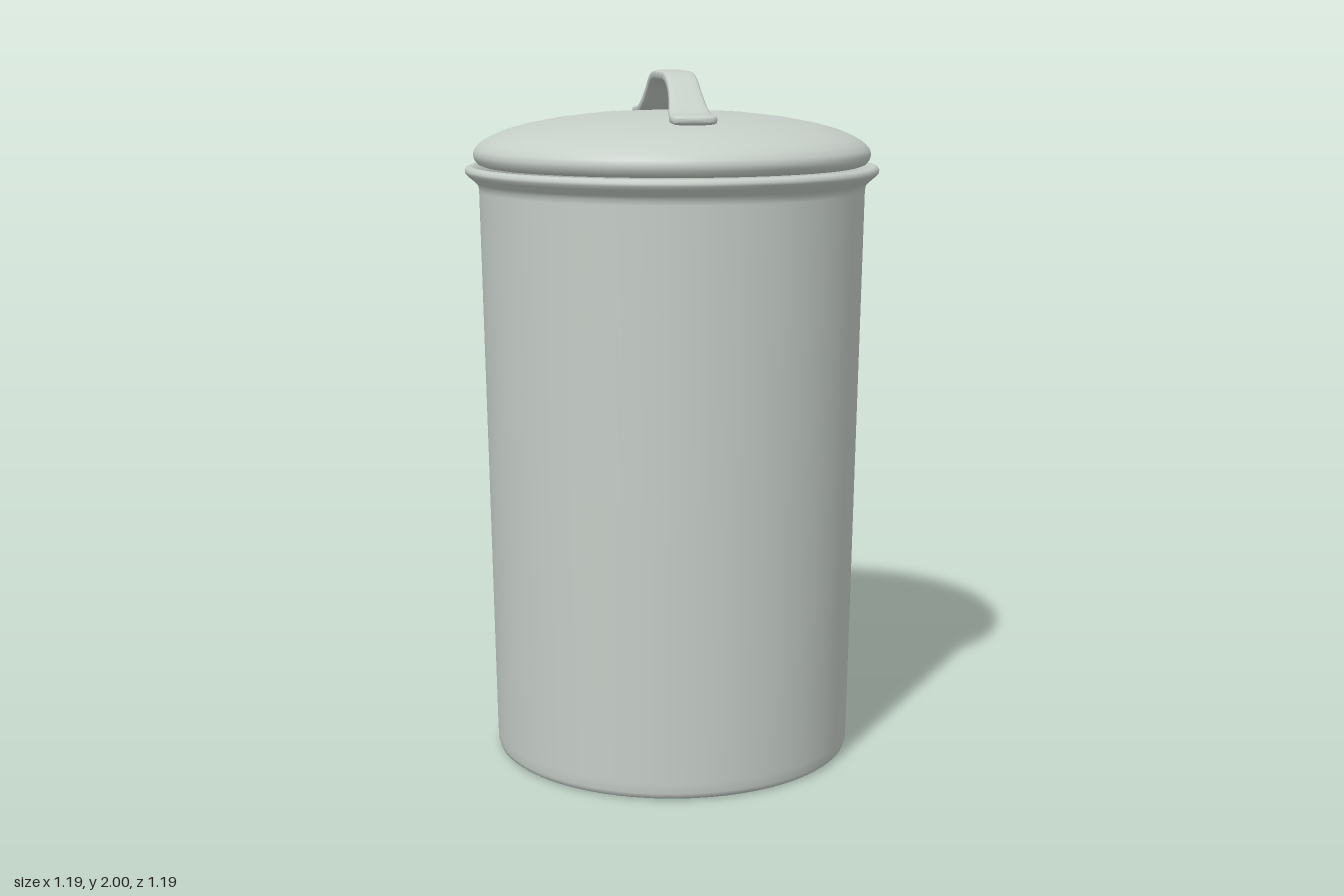
import * as THREE from 'three';

const enamel = new THREE.MeshStandardMaterial({ color: 0xc6cec8 });
enamel.name = 'pale grey enamel';

const lathe = (name, pts) => {
  const geo = new THREE.LatheGeometry(pts.map(([r, y]) => new THREE.Vector2(r, y)), 96);
  const mesh = new THREE.Mesh(geo, enamel);
  mesh.name = name;
  return mesh;
};

// Sweep a soft rectangular section through stations of [z, y, half width, half thickness]
function strapGeometry(stations, sides = 24) {
  const pos = [], index = [];
  const soft = (v) => Math.sign(v) * Math.pow(Math.abs(v), 0.5);
  stations.forEach(([z, y, w, h], i) => {
    const a = stations[Math.max(i - 1, 0)], b = stations[Math.min(i + 1, stations.length - 1)];
    const len = Math.hypot(b[0] - a[0], b[1] - a[1]);
    const tz = (b[0] - a[0]) / len, ty = (b[1] - a[1]) / len;
    for (let j = 0; j < sides; j++) {
      const t = (j / sides) * Math.PI * 2;
      const u = soft(Math.cos(t)) * w, v = soft(Math.sin(t)) * h;
      pos.push(u, y + v * tz, z - v * ty);
    }
  });
  for (let i = 0; i < stations.length - 1; i++) {
    for (let j = 0; j < sides; j++) {
      const k = (j + 1) % sides;
      const p = i * sides + j, q = i * sides + k;
      index.push(p, q, p + sides, q, q + sides, p + sides);
    }
  }
  const geo = new THREE.BufferGeometry();
  geo.setAttribute('position', new THREE.Float32BufferAttribute(pos, 3));
  geo.setIndex(index);
  geo.computeVertexNormals();
  return geo;
}

export function createModel() {
  const model = new THREE.Group();
  model.name = 'liddedBin';

  // Tapered body with a flared rim, inner wall and floor
  model.add(lathe('body', [
    [0, 0], [0.5, 0], [0.512, 0.002], [0.52, 0.008], [0.524, 0.02], [0.526, 0.05],
    [0.54, 0.85], [0.555, 1.66], [0.557, 1.675], [0.565, 1.685], [0.585, 1.702],
    [0.594, 1.712], [0.595, 1.72], [0.59, 1.728], [0.58, 1.732], [0.568, 1.728],
    [0.55, 1.712], [0.54, 1.69], [0.536, 1.65], [0.508, 0.05], [0.495, 0.022], [0, 0.02],
  ]));

  // Shallow domed lid with a rolled edge
  model.add(lathe('lid', [
    [0, 1.865], [0.2, 1.858], [0.38, 1.838], [0.48, 1.81], [0.53, 1.775], [0.535, 1.735],
    [0.545, 1.732], [0.558, 1.737], [0.568, 1.75], [0.571, 1.764], [0.567, 1.778],
    [0.552, 1.795], [0.525, 1.812], [0.48, 1.831], [0.42, 1.848], [0.33, 1.865],
    [0.22, 1.878], [0.1, 1.884], [0, 1.885],
  ]));

  // Arched strap handle: smooth half path, mirrored, with flared rounded feet
  const arch = new THREE.CatmullRomCurve3([
    [0, 1.986], [0.09, 1.985], [0.135, 1.978], [0.18, 1.96], [0.225, 1.928],
    [0.265, 1.897], [0.3, 1.88], [0.335, 1.875], [0.365, 1.874],
  ].map(([z, y]) => new THREE.Vector3(0, y, z)));
  const half = arch.getSpacedPoints(32).map((p) => {
    const flare = THREE.MathUtils.smoothstep(p.z, 0.18, 0.35);
    return [p.z, p.y, 0.045 + 0.018 * flare, 0.014];
  });
  half.push([0.374, 1.874, 0.06, 0.013], [0.38, 1.874, 0.052, 0.01],
    [0.383, 1.874, 0.04, 0.006], [0.3835, 1.874, 0, 0]);
  const mirrored = half.slice(1).reverse().map(([z, y, w, h]) => [-z, y, w, h]);
  const handle = new THREE.Mesh(strapGeometry([...mirrored, ...half]), enamel);
  handle.name = 'handle';
  handle.position.z = 0.007;
  model.add(handle);

  return model;
}
